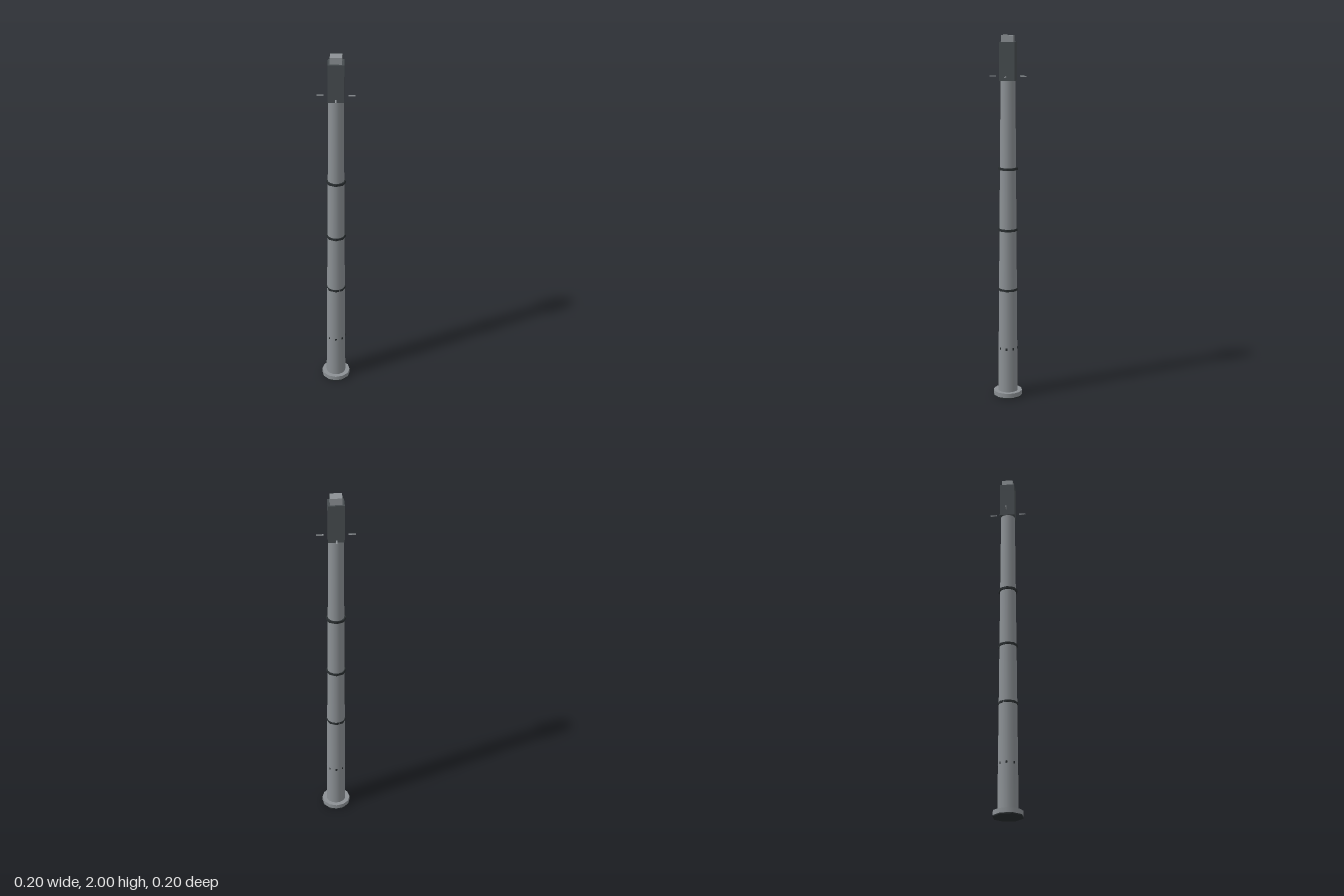
import * as THREE from 'three';

const grey = new THREE.MeshStandardMaterial({ color: 0x8c9195 });
const dark = new THREE.MeshStandardMaterial({ color: 0x474d50 });
const black = new THREE.MeshStandardMaterial({ color: 0x2a2f31, flatShading: true });

export function createModel() {
  const model = new THREE.Group();

  const add = (name, geometry, material, x, y, z) => {
    const mesh = new THREE.Mesh(geometry, material);
    mesh.name = name;
    mesh.position.set(x, y, z);
    model.add(mesh);
    return mesh;
  };

  // Foot: a round flange with an eight-sided pad beneath it
  add('baseFlange', new THREE.CylinderGeometry(0.08, 0.08, 0.025, 12), grey, 0, 0.0185, 0);
  add('basePad', new THREE.CylinderGeometry(0.082, 0.082, 0.006, 8), black, 0, 0.003, 0)
    .rotation.y = Math.PI / 8;

  // Tapered mast
  add('mast', new THREE.CylinderGeometry(0.04, 0.055, 1.735, 16), grey, 0, 0.8975, 0);

  // Equal eight-sided bands; the taper lets the upper ones stand out further
  for (let i = 0; i < 4; i++) {
    add('band', new THREE.CylinderGeometry(0.054, 0.054, 0.013, 8), black, 0, 0.28 + i * 0.3365, 0);
  }

  // Head box and its smaller cap
  add('head', new THREE.BoxGeometry(0.084, 0.203, 0.084), dark, 0, 1.8635, 0);
  add('cap', new THREE.BoxGeometry(0.062, 0.035, 0.062), grey, 0, 1.9825, 0);

  // Four short rods around the head
  for (let i = 0; i < 4; i++) {
    const a = (i * Math.PI) / 2;
    add('rod', new THREE.BoxGeometry(0.036, 0.005, 0.007), grey,
      0.082 * Math.cos(a), 1.785, -0.082 * Math.sin(a)).rotation.y = a;
  }

  return model;
}
